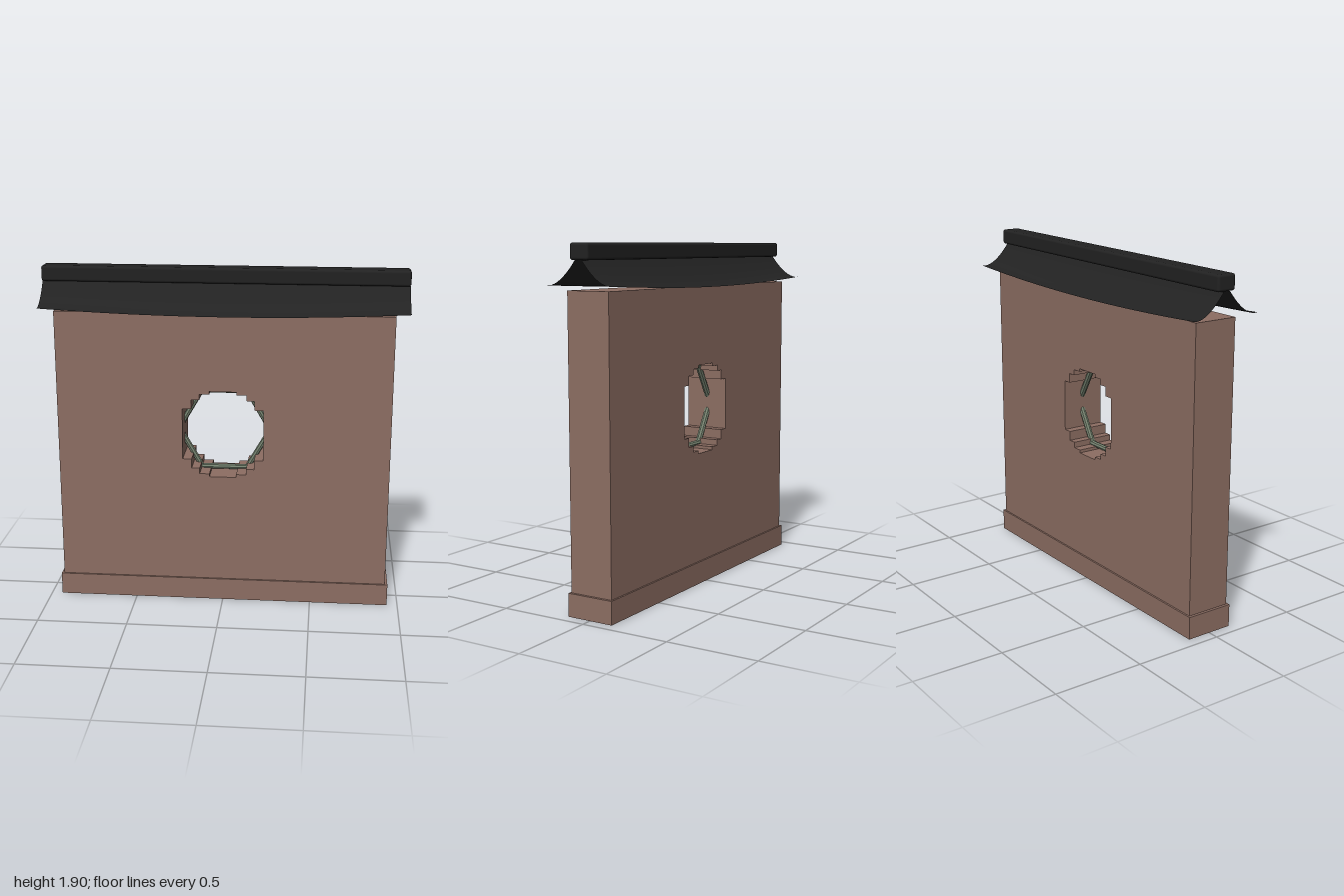
import * as THREE from 'three';
import { RoundedBoxGeometry } from 'three/addons/geometries/RoundedBoxGeometry.js';

const brick = new THREE.MeshStandardMaterial({ name: 'brown plaster', color: 0x8d6e63 });
const tile = new THREE.MeshStandardMaterial({ name: 'black tile', color: 0x222222, side: THREE.DoubleSide });
const trim = new THREE.MeshStandardMaterial({ name: 'grey green trim', color: 0x75826f, flatShading: true });

const HOLE_Y = 0.99;

function add(group, name, geometry, material, x = 0, y = 0, z = 0) {
  const mesh = new THREE.Mesh(geometry, material);
  mesh.name = name;
  mesh.position.set(x, y, z);
  group.add(mesh);
  return mesh;
}

// Stepped round opening: one quarter of the staircase, mirrored four ways
function steppedHole() {
  const steps = [[0.225, 0.145], [0.175, 0.198], [0.13, 0.23], [0.075, 0.247]];
  const quarter = [];
  steps.forEach(([x, y], i) => {
    quarter.push([x, y]);
    if (i < steps.length - 1) quarter.push([steps[i + 1][0], y]);
  });
  const flipped = [...quarter].reverse();
  const outline = [
    ...quarter,
    ...flipped.map(([x, y]) => [-x, y]),
    ...quarter.map(([x, y]) => [-x, -y]),
    ...flipped.map(([x, y]) => [x, -y]),
  ];
  return new THREE.Path(outline.map(([x, y]) => new THREE.Vector2(x, y + HOLE_Y)));
}

function wallGeometry() {
  const w = 0.925, top = 1.67, depth = 0.25;
  const shape = new THREE.Shape([
    new THREE.Vector2(-w, 0), new THREE.Vector2(w, 0),
    new THREE.Vector2(w, top), new THREE.Vector2(-w, top),
  ]);
  shape.holes.push(steppedHole());
  return new THREE.ExtrudeGeometry(shape, { depth, bevelEnabled: false }).translate(0, 0, -depth / 2);
}

// Flared roof sheet whose eave lifts towards both ends
function roofGeometry() {
  const geo = new THREE.PlaneGeometry(2, 1, 24, 10);
  const p = geo.attributes.position;
  for (let i = 0; i < p.count; i++) {
    const x = p.getX(i);
    const t = 0.5 - p.getY(i);
    const y = 1.668 + 0.152 * Math.pow(1 - t, 1.6) + 0.03 * x * x * t * t;
    p.setXYZ(i, x, y, 0.02 + 0.18 * t);
  }
  geo.computeVertexNormals();
  return geo;
}

export function createModel() {
  const model = new THREE.Group();
  model.name = 'gardenWall';

  add(model, 'wall', wallGeometry(), brick);
  add(model, 'plinth', new THREE.BoxGeometry(1.88, 0.125, 0.27), brick, 0, 0.0625, 0);

  // Six-sided window frame set into the opening
  add(model, 'windowFrame', new THREE.TorusGeometry(0.259, 0.018, 8, 6), trim, 0, HOLE_Y, 0);

  // Front and back roof sheets
  const sheet = roofGeometry();
  add(model, 'frontRoof', sheet, tile);
  add(model, 'backRoof', sheet, tile).rotation.y = Math.PI;

  // Ridge beam
  add(model, 'ridge', new RoundedBoxGeometry(2, 0.085, 0.11, 2, 0.014), tile, 0, 1.8625, 0);
  return model;
}
